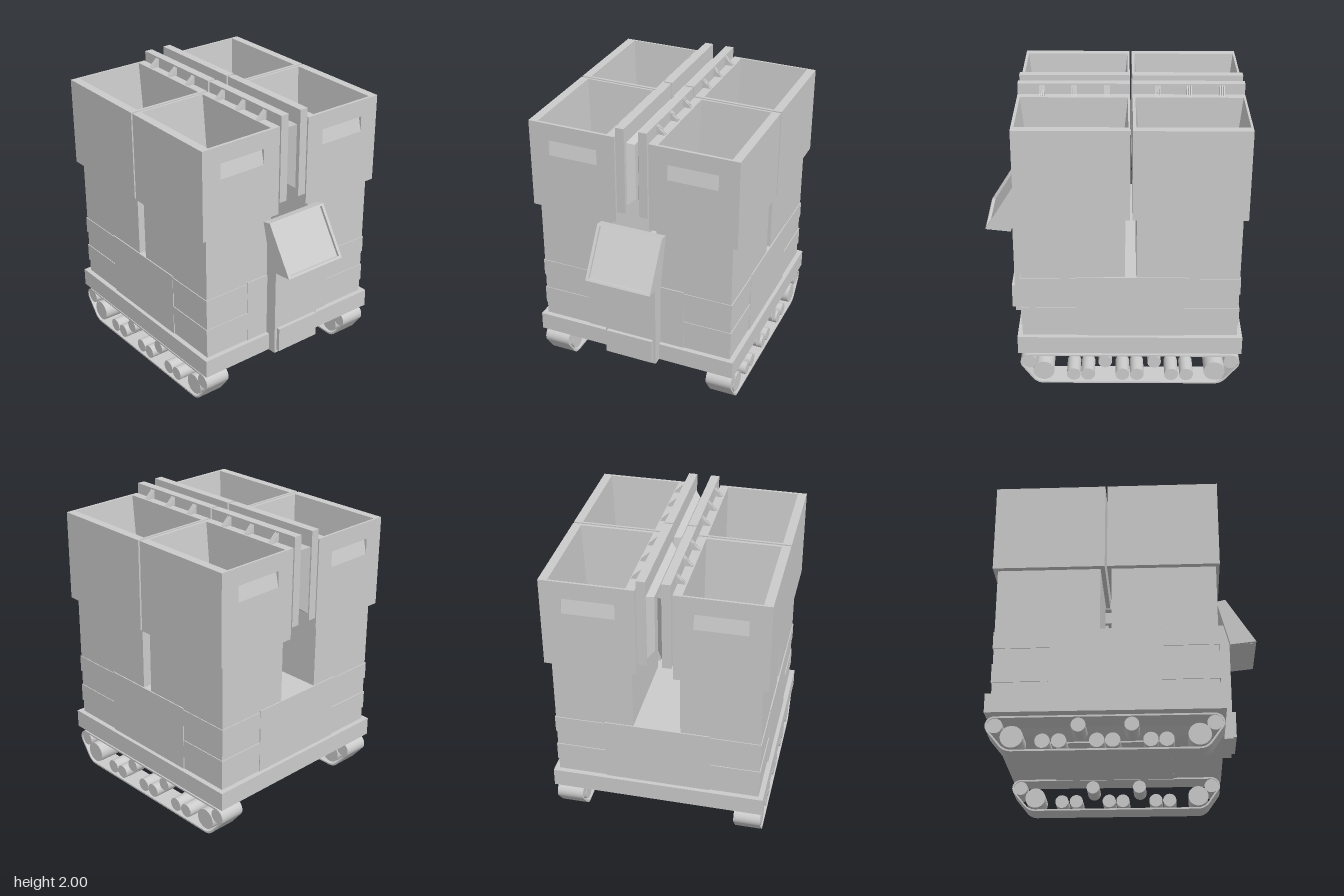
import * as THREE from 'three';

const mat = new THREE.MeshStandardMaterial({ color: 0xcccccc, side: THREE.DoubleSide, flatShading: true });
const smooth = new THREE.MeshStandardMaterial({ color: 0xcccccc });

// Joins rectangular rings [x0, x1, z0, z1, y] in order; skip leaves out one side of the first band.
function loft(rings, { skip = -1, bottom = true, top = true } = {}) {
  const corners = rings.map(([x0, x1, z0, z1, y]) => [[x0, y, z1], [x1, y, z1], [x1, y, z0], [x0, y, z0]]);
  const pos = [];
  const quad = (a, b, c, d) => pos.push(...a, ...b, ...c, ...a, ...c, ...d);
  for (let r = 0; r < corners.length - 1; r++) {
    for (let i = 0; i < 4; i++) {
      if (r === 0 && i === skip) continue;
      const j = (i + 1) % 4;
      quad(corners[r][i], corners[r][j], corners[r + 1][j], corners[r + 1][i]);
    }
  }
  if (bottom) quad(...[...corners[0]].reverse());
  if (top) quad(...corners[corners.length - 1]);
  const g = new THREE.BufferGeometry();
  g.setAttribute('position', new THREE.Float32BufferAttribute(pos, 3));
  g.computeVertexNormals();
  return g;
}

// Extrudes a profile drawn in (z, y) from x0 to x1.
function extrudeX(shape, x0, x1) {
  const g = new THREE.ExtrudeGeometry(shape, { depth: x1 - x0, bevelEnabled: false });
  return g.rotateY(-Math.PI / 2).translate(x1, 0, 0);
}

const poly = (pts) => new THREE.Shape(pts.map(([x, y]) => new THREE.Vector2(x, y)));
const span = (s, a, b) => (s > 0 ? [a, b] : [-b, -a]);

// Outline of a belt stretched around circles [z, y, r].
function beltOutline(circles, inset) {
  const pts = [];
  for (let k = 0; k < 96; k++) {
    const t = (k / 96) * Math.PI * 2, c = Math.cos(t), s = Math.sin(t);
    const reach = ([z, y, r]) => z * c + y * s + r;
    const [z, y, r] = circles.reduce((a, b) => (reach(b) > reach(a) ? b : a));
    pts.push(new THREE.Vector2(z + (r - inset) * c, y + (r - inset) * s));
  }
  return pts;
}

export function createModel() {
  const model = new THREE.Group();
  const add = (name, geo, material = mat) => {
    const m = new THREE.Mesh(geo, material);
    m.name = name;
    model.add(m);
    return m;
  };
  const box = (name, x0, x1, y0, y1, z0, z1) =>
    add(name, new THREE.BoxGeometry(x1 - x0, y1 - y0, z1 - z0)
      .translate((x0 + x1) / 2, (y0 + y1) / 2, (z0 + z1) / 2));

  // Chassis deck and tapered belly
  box('deck', -0.735, 0.735, 0.26, 0.39, -0.89, 0.65);
  add('belly', loft([[-0.39, 0.39, -0.55, 0.31, 0.185], [-0.535, 0.535, -0.85, 0.6, 0.26]]));
  box('bellyPlate', -0.38, 0.38, 0.175, 0.186, -0.54, 0.3);

  // Plates and corner bands around the lower body
  box('sidePlates', -0.708, 0.708, 0.39, 0.85, -0.488, 0.243);
  box('endPlates', -0.36, 0.36, 0.39, 0.85, -0.863, 0.622);
  for (const [y0, y1] of [[0.48, 0.61], [0.72, 0.84]]) box('cornerBand', -0.706, 0.706, y0, y1, -0.861, 0.62);

  for (const s of [1, -1]) {
    const side = s > 0 ? 'left' : 'right';
    for (const f of [1, -1]) {
      const zs = f > 0 ? [-0.115, 0.64] : [-0.885, -0.13];
      const name = side + (f > 0 ? 'Front' : 'Rear');
      const outer = [...span(s, 0.12, 0.74), ...zs];

      // Column under the bin
      const tz = f > 0 ? [-0.085, 0.615] : [-0.855, -0.16];
      box(name + 'Column', ...span(s, 0.16, 0.70), 0.39, 1.3, ...tz);

      // Open bin with three tapering inner walls
      add(name + 'Bin', loft([
        [...outer, 1.3], [...outer, 1.93],
        [...span(s, 0.18, 0.68), zs[0] + 0.015, zs[1] - 0.02, 1.93],
        [...span(s, 0.18, 0.64), zs[0] + 0.07, zs[1] - 0.075, 1.36],
      ], { skip: f > 0 ? 0 : 2 }));

      // Outer end wall with a wedge-shaped hand grip
      const [x0, x1] = span(s, 0.12, 0.74), [g0, g1] = span(s, 0.25, 0.6);
      const wall = poly([[x0, 1.3], [x1, 1.3], [x1, 1.93], [x0, 1.93]]);
      wall.holes.push(poly([[g0, 1.7], [g0, 1.81], [g1, 1.81], [g1, 1.7]]));
      const zw = f > 0 ? zs[1] : zs[0];
      const end = new THREE.ShapeGeometry(wall);
      if (f < 0) end.scale(-1, 1, 1).rotateY(Math.PI);
      add(name + 'BinEnd', end.translate(0, 0, zw));
      const zi = zw - f * 0.025;
      add(name + 'Grip', loft([[g0, g1, zw, zw, 1.7], [g0, g1, Math.min(zw, zi), Math.max(zw, zi), 1.81]],
        { skip: f > 0 ? 0 : 2, bottom: false }));

      // Upright board with a raised bevelled pad facing the middle
      box(name + 'Board', ...span(s, 0.05, 0.11), 1.38, 2.0, ...zs);
      const pad = loft([
        [...span(s, 1.43, 1.89), zs[0] + 0.01, zs[1] - 0.03, -0.05],
        [...span(s, 1.46, 1.86), zs[0] + 0.065, zs[1] - 0.08, -0.01],
      ]);
      add(name + 'Pad', pad.rotateZ(s * Math.PI / 2));

      // Triangular gussets between board and bin rim
      for (const zg of f > 0 ? [0.04, 0.26, 0.475] : [-0.73, -0.51, -0.3]) {
        for (const o of [-0.013, 0, 0.013]) {
          const tri = poly([[s * 0.11, 1.93], [s * 0.175, 1.93], [s * 0.11, 1.99]]);
          add(name + 'Gusset', new THREE.ExtrudeGeometry(tri, { depth: 0.007, bevelEnabled: false })
            .translate(0, 0, zg + o - 0.0035));
        }
      }
    }

    // Track belt and its wheels
    const hull = [[0.575, 0.175, 0.062], [0.475, 0.1, 0.1], [-0.71, 0.1, 0.1], [-0.82, 0.175, 0.062]];
    const belt = new THREE.Shape(beltOutline(hull, 0));
    belt.holes.push(new THREE.Path(beltOutline(hull, 0.012)));
    add(side + 'Track', extrudeX(belt, ...span(s, 0.537, 0.722)), smooth);
    const wheels = [[0.575, 0.175, 0.05], [0.478, 0.1, 0.073], [-0.71, 0.1, 0.073], [-0.82, 0.175, 0.05],
      [0.05, 0.175, 0.047], [-0.29, 0.175, 0.047]];
    for (const z of [0.27, 0.17, -0.07, -0.17, -0.41, -0.515]) wheels.push([z, 0.07, 0.048]);
    for (const [z, y, r] of wheels) {
      add(side + 'Wheel', new THREE.CylinderGeometry(r, r, 0.17, 32).rotateZ(Math.PI / 2)
        .translate(s * 0.63, y, z), smooth);
    }
  }

  // Front post with a small cover
  box('post', -0.19, 0.19, 0.26, 1.11, 0.615, 0.71);
  box('postCover', -0.17, 0.17, 0.28, 0.46, 0.70, 0.735);

  // Slanted console: cheeks, recessed screen and lips
  const cheek = poly([[0.69, 1.29], [0.628, 1.275], [0.715, 0.94], [0.895, 0.96]]);
  for (const x of [-0.235, 0.215]) add('consoleCheek', extrudeX(cheek, x, x + 0.02));
  add('screen', extrudeX(poly([[0.673, 1.279], [0.63, 1.27], [0.715, 0.945], [0.876, 0.955]]), -0.215, 0.215));
  add('consoleTopLip', extrudeX(poly([[0.69, 1.29], [0.628, 1.275], [0.633, 1.262], [0.697, 1.279]]), -0.215, 0.215));
  add('consoleBottomLip', extrudeX(poly([[0.895, 0.96], [0.715, 0.94], [0.712, 0.952], [0.888, 0.972]]), -0.215, 0.215));

  return model;
}
